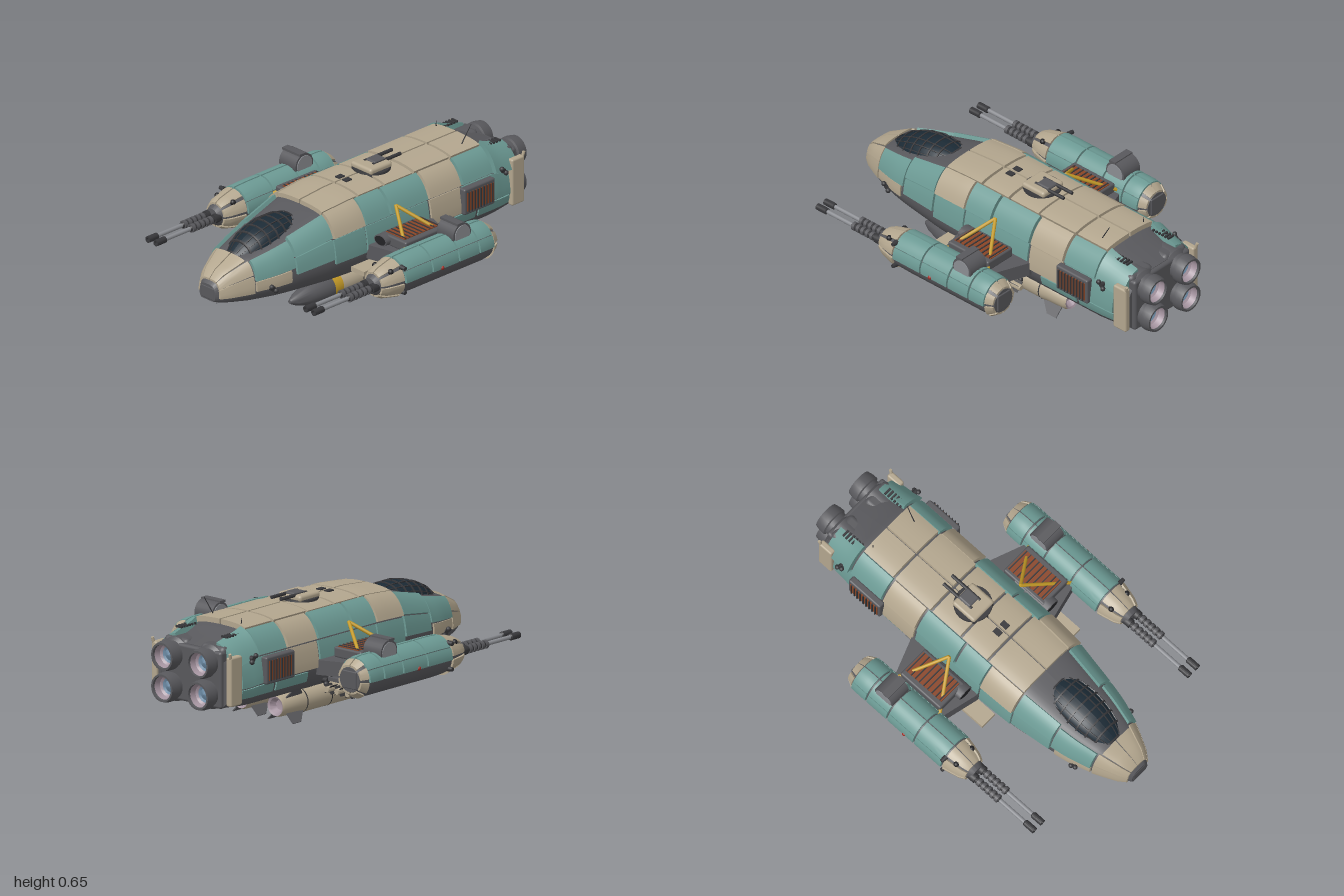
import * as THREE from 'three';
import { toCreasedNormals } from 'three/addons/utils/BufferGeometryUtils.js';
import { RoundedBoxGeometry } from 'three/addons/geometries/RoundedBoxGeometry.js';

const V = (x, y, z) => new THREE.Vector3(x, y, z);
const colors = { teal: 0x6c9a94, beige: 0xb3a68e, grey: 0x58585c, dark: 0x37373a, black: 0x232326,
  steel: 0x8b8d92, yellow: 0xc49a28, rust: 0x8a4526, glass: 0x1b2a35, lens: 0x6d8ca6, pink: 0xa594a0, red: 0xa03028 };
const mats = {};
for (const k in colors) mats[k] = new THREE.MeshStandardMaterial({ color: colors[k], side: THREE.DoubleSide });

export function createModel() {
  const root = new THREE.Group();
  root.name = 'gunship';
  const add = (name, geo, color, x = 0, y = 0, z = 0, parent = root) => {
    const m = new THREE.Mesh(geo, mats[color]);
    m.name = name;
    m.position.set(x, y, z);
    parent.add(m);
    return m;
  };
  const box = (name, color, w, h, d, x, y, z) => add(name, new THREE.BoxGeometry(w, h, d), color, x, y, z);
  const rounded = (name, color, w, h, d, x, y, z, r = 0.01) =>
    add(name, new RoundedBoxGeometry(w, h, d, 2, r), color, x, y, z);
  const rod = (name, color, a, b, r, r2 = r, sides = 10) => {
    const d = b.clone().sub(a);
    const m = add(name, new THREE.CylinderGeometry(r2, r, d.length(), sides), color);
    m.position.copy(a).addScaledVector(d, 0.5);
    m.quaternion.setFromUnitVectors(V(0, 1, 0), d.normalize());
    return m;
  };
  // Lathe about the z axis from [radius, z] pairs
  const latheZ = (name, color, pts, x, y, sides = 24) => {
    const g = new THREE.LatheGeometry(pts.map(p => new THREE.Vector2(p[0], p[1])), sides).rotateX(Math.PI / 2);
    return add(name, toCreasedNormals(g, 0.6), color, x, y, 0);
  };

  // A skin maps (z, u, offset) to a point on half a lofted body; stations are [z, halfWidth, yBottom, yTop]
  const skin = (profile, stations, cx = 0) => {
    const n = profile.length - 1;
    const curve = new THREE.SplineCurve(profile.map(p => new THREE.Vector2(p[0], p[1])));
    return (z, u, off, s) => {
      let i = 0;
      while (i < stations.length - 2 && z < stations[i + 1][0]) i++;
      const a = stations[i], b = stations[i + 1];
      const t = THREE.MathUtils.clamp((a[0] - z) / (a[0] - b[0]), 0, 1);
      const [w, lo, hi] = [1, 2, 3].map(k => a[k] + (b[k] - a[k]) * t);
      const p = curve.getPoint(u / n), q = curve.getTangent(u / n);
      const nx = q.y * (hi - lo), ny = -q.x * w, l = Math.hypot(nx, ny) || 1;
      return V(cx + s * Math.max(0, p.x * w + off * nx / l), lo + p.y * (hi - lo) + off * ny / l, z);
    };
  };
  // A raised plate on a skin, with its edges folded inward; cap closes the ends instead
  const plate = (name, color, sk, z0, z1, u0, u1, off, s, cap = null) => {
    const nz = Math.max(1, Math.ceil((z0 - z1) / 0.04)), nu = Math.max(1, Math.ceil((u1 - u0) * 3));
    const pos = [], idx = [], row = nu + 3;
    for (let i = 0; i <= nz + 2; i++) for (let j = 0; j <= nu + 2; j++) {
      const ci = THREE.MathUtils.clamp(i - 1, 0, nz), cj = THREE.MathUtils.clamp(j - 1, 0, nu);
      const endRow = ci !== i - 1, edge = endRow || cj !== j - 1;
      const p = sk(z0 + (z1 - z0) * ci / nz, u0 + (u1 - u0) * cj / nu, edge && cap === null ? -0.004 : off, s);
      if (cap !== null && endRow) p.x = cap;
      pos.push(p.x, p.y, p.z);
      if (i < nz + 2 && j < nu + 2) {
        const a = i * row + j, b = a + row;
        idx.push(...(s > 0 ? [a, b, b + 1, a, b + 1, a + 1] : [a, b + 1, b, a, a + 1, b + 1]));
      }
    }
    const g = new THREE.BufferGeometry();
    g.setAttribute('position', new THREE.Float32BufferAttribute(pos, 3));
    g.setIndex(idx);
    return add(name, toCreasedNormals(g, 0.6), color);
  };

  const hull = skin([[0, 0], [.72, 0], [.93, .13], [1, .3], [.98, .5], [.92, .68], [.8, .85], [.62, .96], [.35, 1], [0, 1.01]],
    [[1, .055, .212, .295], [.95, .095, .2, .345], [.84, .15, .19, .4], [.7, .195, .182, .435], [.6, .215, .178, .46],
      [.37, .25, .17, .52], [.2, .258, .165, .535], [-.7, .258, .165, .535], [-.76, .25, .165, .51], [-.9, .24, .18, .47]]);
  const canopy = skin([[1, 0], [.95, .35], [.75, .7], [.4, .93], [0, 1]],
    [[.84, .05, .36, .4], [.78, .085, .37, .45], [.7, .105, .4, .49], [.6, .112, .42, .512], [.5, .1, .44, .512], [.43, .07, .45, .495]]);
  // Armour: [colour, zFront, zBack, uLow, uHigh, thickness]
  const armour = [
    ['beige', .985, .83, 2.7, 4.8, .01], ['beige', .985, .83, 4.95, 6.8, .01], ['beige', .985, .84, 7, 8.9, .01],
    ['beige', .82, .63, 2.9, 4, .01], ['teal', .82, .61, 4.15, 6.7, .016], ['teal', .6, .38, 3.5, 5, .014],
    ['teal', .6, .38, 5.1, 7, .02], ['beige', .37, .14, 7.1, 8.92, .022], ['beige', .37, .17, 5, 7.02, .024],
    ['teal', .37, .17, 3.1, 4.9, .01], ['beige', .125, -.04, 7.1, 8.92, .022], ['teal', .16, 0, 5, 7.02, .022],
    ['beige', -.055, -.24, 7.1, 8.92, .022], ['teal', -.015, -.26, 5, 7.02, .022], ['teal', .16, -.26, 3.1, 4.9, .01],
    ['beige', -.255, -.49, 7.1, 8.92, .026], ['beige', -.275, -.485, 5, 7.02, .022], ['beige', -.275, -.485, 3.1, 4.9, .012],
    ['beige', -.505, -.7, 7.1, 8.92, .026], ['teal', -.5, -.7, 5, 7.02, .022], ['teal', -.5, -.82, 3.1, 4.9, .012],
    ['teal', -.715, -.88, 4.95, 7.35, .035], ['teal', -.35, -.58, 2.2, 2.95, .008], ['teal', -.6, -.82, 2.2, 2.95, .008],
  ];
  for (const s of [1, -1]) {
    plate('hull', 'grey', hull, 1, -.9, 0, 9, 0, s, 0);
    for (const [c, z0, z1, u0, u1, t] of armour) plate('hullArmour', c, hull, z0, z1, u0, u1, t, s);
    // Cockpit glazing and its frame
    plate('canopyGlass', 'glass', canopy, .84, .43, 0, 4, 0, s, 0);
    for (let i = 0; i < 8; i++) plate('canopyRib', 'dark', canopy, .835 - i * .054, .827 - i * .054, 0, 4, .005, s);
    for (const u of [.6, 1.4, 2.2, 3]) plate('canopyStringer', 'dark', canopy, .84, .44, u, u + .1, .005, s);
  }
  rod('noseSensor', 'black', V(0, .19, .9), V(0, .18, .9), .025, .02);
  rounded('noseCap', 'grey', .09, .07, .02, 0, .25, .992, .008);
  box('noseSlot', 'steel', .06, .015, .02, 0, .195, .96);

  // Dorsal turret, hatch and aerials
  rod('turretRing', 'dark', V(0, .545, -.12), V(0, .567, -.12), .1, .095, 24);
  rounded('turretBody', 'beige', .15, .035, .15, 0, .575, -.12, .015);
  rounded('turretHousing', 'grey', .07, .025, .08, 0, .588, -.15);
  for (const x of [-.03, .03]) {
    rod('turretGun', 'dark', V(x, .588, -.1), V(x, .588, -.29), .009);
    box('dorsalHatch', 'dark', .03, .012, .04, x * .85, .56, .07);
  }
  rod('aerial', 'dark', V(.115, .55, -.62), V(.125, .65, -.68), .003, .002, 6);
  rod('aerial', 'dark', V(-.12, .55, -.68), V(-.12, .585, -.68), .003, .002, 6);

  // Stern block with four thrusters
  rounded('sternBlock', 'grey', .4, .29, .07, 0, .325, -.885, .015);
  const podRing = [];
  for (let i = 0; i <= 9; i++) podRing.push([Math.sin(i * Math.PI / 9), (1 - Math.cos(i * Math.PI / 9)) / 2]);

  for (const s of [1, -1]) {
    for (const y of [.25, .41]) {
      latheZ('thruster', 'grey', [[.06, -.78], [.083, -.8], [.083, -.9], [.066, -.915], [.066, -.94], [.076, -.945],
        [.076, -.97], [.07, -1], [.06, -1], [.055, -.95]], s * .117, y);
      latheZ('thrusterLiner', 'pink', [[.061, -.998], [.052, -.955], [.04, -.945]], s * .117, y);
      latheZ('thrusterCore', 'lens', [[.045, -.948], [.03, -.94], [.0, -.955]], s * .117, y);
    }
    rounded('sternPlate', 'beige', .035, .25, .085, s * .245, .325, -.872, .01);
    rod('sternAerial', 'beige', V(s * .25, .42, -.9), V(s * .255, .47, -.915), .008);
    rounded('thrusterFairing', 'grey', .16, .06, .16, s * .12, .46, -.82, .025);
    // Louvred radiator in the hull side
    rounded('ventFrame', 'grey', .04, .14, .21, s * .272, .345, -.58);
    box('ventCore', 'rust', .01, .1, .18, s * .29, .345, -.58);
    for (let i = 0; i < 9; i++) box('ventSlat', 'dark', .014, .105, .006, s * .294, .345, -.5 - i * .02);
    for (let i = 0; i < 6; i++) box('shoulderLouvre', 'dark', .04, .01, .01, s * .15, .525, -.735 - i * .02);
    // Small sensors and thruster blisters
    for (const [x, y, z] of [[.275, .42, -.76], [.2, .25, .74], [.262, .2, -.2]]) {
      rod('sensorStem', 'dark', V(s * (x - .04), y, z), V(s * x, y, z), .014);
      for (const d of [-.014, .014]) add('sensorHead', new THREE.SphereGeometry(.013, 10, 8), 'dark', s * x, y + d, z + d);
    }
    for (let i = 0; i < 6; i++) box('bowLouvre', 'black', .012, .03, .012, s * (.202 + i * .004), .275, .6 - i * .025);

    // Stub wing
    const shape = new THREE.Shape([[.2, -.28], [.27, -.28], [.48, -.2], [.48, .11], [.27, .16], [.2, .16]]
      .map(p => new THREE.Vector2(s * p[0], p[1])));
    add('stubWing', new THREE.ExtrudeGeometry(shape, { depth: .075, bevelEnabled: false }).rotateX(Math.PI / 2), 'grey', 0, .32);
    rounded('wingBlock', 'grey', .18, .055, .27, s * .37, .345, -.045);
    box('wingRadiator', 'rust', .13, .01, .24, s * .365, .371, -.05);
    for (let i = 0; i < 9; i++) box('radiatorSlat', 'dark', .13, .012, .006, s * .365, .374, -.16 + i * .0275);
    const intake = rod('wingIntake', 'grey', V(s * .31, .345, -.1), V(s * .31, .345, .12), .044, .044, 16);
    intake.scale.set(1, 1, .65);
    const mouth = rod('intakeMouth', 'black', V(s * .31, .345, .115), V(s * .31, .345, .122), .036, .036, 16);
    mouth.scale.set(1, 1, .65);
    for (const z of [-.19, .1]) {
      rod('wingStrut', 'yellow', V(s * .255, .465, -.04), V(s * .475, .325, z), .009);
      rod('lowerStrut', 'yellow', V(s * .24, .17, -.04), V(s * .46, .25, z), .009);
    }
    rod('strutBrace', 'yellow', V(s * .41, .37, -.145), V(s * .41, .37, .06), .006);
    // Missile rack under the wing
    box('rackRail', 'grey', .2, .018, .24, s * .36, .208, -.08);
    box('rackStep', 'beige', .09, .025, .19, s * .305, .225, .175);
    for (const x of [.295, .36, .43]) {
      latheZ('missile', 'beige', [[0, -.25], [.014, -.25], [.016, -.24], [.016, .02]], s * x, .168, 12);
      latheZ('missileNose', 'black', [[.017, .02], [.016, .045], [.009, .062], [0, .066]], s * x, .168, 12);
      latheZ('missileBand', 'yellow', [[.0168, -.01], [.0168, .02]], s * x, .168, 12);
      box('missileHanger', 'dark', .012, .03, .1, s * x, .192, -.08);
      for (const a of [1, -1]) box('missileFin', 'dark', .06, .003, .05, s * x, .168, -.215).rotation.z = a * Math.PI / 4;
    }

    // Outboard gun pod
    const cx = s * .555;
    const pod = skin(podRing, [[.43, .04, .245, .325], [.38, .068, .215, .355], [.29, .09, .195, .38], [.2, .09, .19, .385],
      [-.3, .09, .19, .385], [-.345, .085, .2, .375], [-.37, .065, .225, .35]], cx);
    for (const t of [1, -1]) {
      plate('podBody', 'grey', pod, .43, -.37, 0, 9, 0, t, cx);
      for (const [z0, z1] of [[.275, .1], [.09, -.08], [-.09, -.22], [-.23, -.325]])
        for (const [u0, u1] of [[4.3, 6], [6.1, 8.85]]) plate('podArmour', 'teal', pod, z0, z1, u0, u1, .012, t);
      for (const u of [.2, 2.5, 4.8, 7.1]) {
        plate('podNosePetal', 'beige', pod, .405, .285, u, u + 1.75, .01, t);
        plate('podTailPetal', 'beige', pod, -.33, -.368, u, u + 1.75, .01, t);
      }
      // Twin cannon
      const gx = cx + t * .028;
      latheZ('cannon', 'dark', [[.024, .4], [.024, .45], [.017, .45], [.017, .6], [.011, .61]], gx, .285, 14);
      for (let i = 0; i < 5; i++) rod('coolingRing', 'grey', V(gx, .285, .465 + i * .03), V(gx, .285, .482 + i * .03), .022, .022, 14);
      rod('barrel', 'steel', V(gx, .285, .6), V(gx, .285, .79), .011);
      latheZ('muzzle', 'dark', [[.011, .775], [.017, .78], [.017, .842], [.009, .842], [.009, .8], [0, .8]], gx, .285, 14);
      add('podSensor', new THREE.SphereGeometry(.015, 12, 8), 'black', cx + t * .055, .35, .34);
    }
    rounded('podTailPlate', 'grey', .09, .09, .012, cx, .288, -.37, .005);
    // Arched scoop on the pod
    rod('podScoop', 'grey', V(cx - .058, .395, -.145), V(cx + .058, .395, -.145), .06, .06, 24);
    for (const t of [1, -1]) rod('scoopDisc', 'steel', V(cx + t * .058, .395, -.145), V(cx + t * .062, .395, -.145), .05, .05, 24);
    box('scoopLip', 'grey', .125, .012, .04, cx, .455, -.13);
    add('podLamp', new THREE.SphereGeometry(.012, 10, 8), 'red', s * .652, .285, .03);
    for (const y of [.23, .36]) rod('podBlister', 'dark', V(s * .62, y, .28), V(s * .652, y, .28), .014, .01);

    // Heavy torpedo slung under the keel
    const tx = s * .115, ty = .088;
    latheZ('torpedoBody', 'beige', [[.05, -.425], [.056, -.41], [.06, -.3], [.064, -.27], [.064, .24]], tx, ty);
    latheZ('torpedoBand', 'yellow', [[.065, .24], [.065, .295]], tx, ty);
    latheZ('torpedoNose', 'grey', [[.065, .295], [.064, .35], [.055, .43], [.032, .51], [.01, .55], [0, .552]], tx, ty);
    latheZ('torpedoNozzle', 'pink', [[.05, -.425], [.04, -.42], [.025, -.39], [0, -.385]], tx, ty);
    for (const z of [.1, -.08, -.26]) latheZ('torpedoRing', 'dark', [[.0655, z], [.0655, z + .007]], tx, ty);
    const fin = new THREE.Shape([[.03, -.24], [.118, -.33], [.118, -.39], [.03, -.39]].map(p => new THREE.Vector2(p[0], p[1])));
    for (let k = 0; k < 4; k++) {
      const g = new THREE.ExtrudeGeometry(fin, { depth: .005, bevelEnabled: false }).rotateX(Math.PI / 2);
      add('torpedoFin', g, 'grey', tx, ty, 0).rotation.z = Math.PI / 4 + k * Math.PI / 2;
    }
    for (const z of [.15, -.2]) box('torpedoClamp', 'dark', .05, .04, .05, tx, .16, z);
  }
  // Keel pylon and belly tray
  rounded('keelPylon', 'grey', .08, .075, .5, 0, .13, -.05, .012);
  box('bellyTray', 'dark', .3, .012, 1, 0, .162, -.2);
  return root;
}
